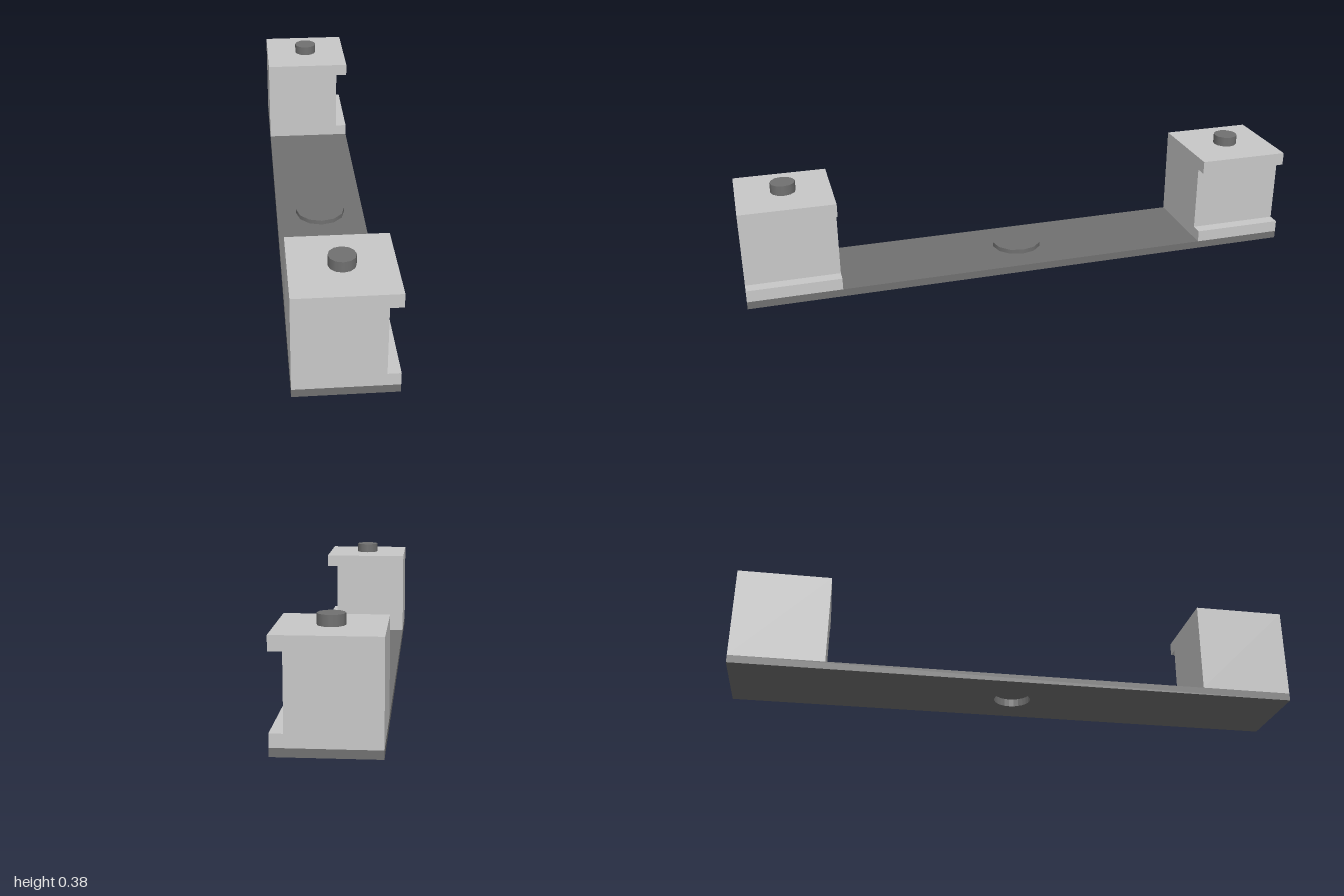
import * as THREE from 'three';

export function createModel() {
  const model = new THREE.Group();
  model.name = 'mountingBar';
  const lightGrey = new THREE.MeshStandardMaterial({ color: 0xc8c8c8 });
  lightGrey.name = 'lightGrey';
  const darkGrey = new THREE.MeshStandardMaterial({ color: 0x707070 });
  darkGrey.name = 'darkGrey';

  const W = 0.1625, L = 0.995; // half width and half length of the bar
  const plateTop = 0.027, blockTop = 0.35, blockLength = 0.325;

  // The whole bar lies diagonally across the ground
  const bar = new THREE.Group();
  bar.name = 'bar';
  bar.rotation.y = -0.307;
  model.add(bar);

  const add = (name, geometry, material, parent = bar) => {
    const mesh = new THREE.Mesh(geometry, material);
    mesh.name = name;
    parent.add(mesh);
    return mesh;
  };
  const outline = points => new THREE.Shape(points.map(([x, y]) => new THREE.Vector2(x, y)));

  // Base plate with a round hole through its middle
  const plateShape = outline([[-W, -L], [W, -L], [W, L], [-W, L]]);
  plateShape.holes.push(new THREE.Path().absarc(0, 0, 0.065, 0, Math.PI * 2, true));
  const plate = new THREE.ExtrudeGeometry(plateShape, { depth: plateTop, bevelEnabled: false, curveSegments: 12 });
  plate.rotateX(-Math.PI / 2);
  add('basePlate', plate, darkGrey);

  // Thin button hovering above the hole
  add('centreButton', new THREE.CylinderGeometry(0.09, 0.09, 0.016, 12), darkGrey).position.y = 0.043;

  // End blocks: a C-shaped section with a channel along the +x side
  const inner = W - 0.042;
  const section = outline([
    [-W, plateTop], [W, plateTop], [W, 0.069], [inner, 0.069],
    [inner, 0.304], [W, 0.304], [W, blockTop], [-W, blockTop],
  ]);
  for (const [side, label] of [[1, 'front'], [-1, 'back']]) {
    const end = new THREE.Group();
    end.name = label + 'End';
    end.position.z = side * (L - blockLength / 2);
    bar.add(end);
    const block = new THREE.ExtrudeGeometry(section, { depth: blockLength, bevelEnabled: false });
    block.translate(0, 0, -blockLength / 2);
    add(label + 'Block', block, lightGrey, end);
    // Short stud on top
    add(label + 'Stud', new THREE.CylinderGeometry(0.043, 0.043, 0.035, 12), darkGrey, end)
      .position.y = blockTop + 0.0175;
  }
  return model;
}
